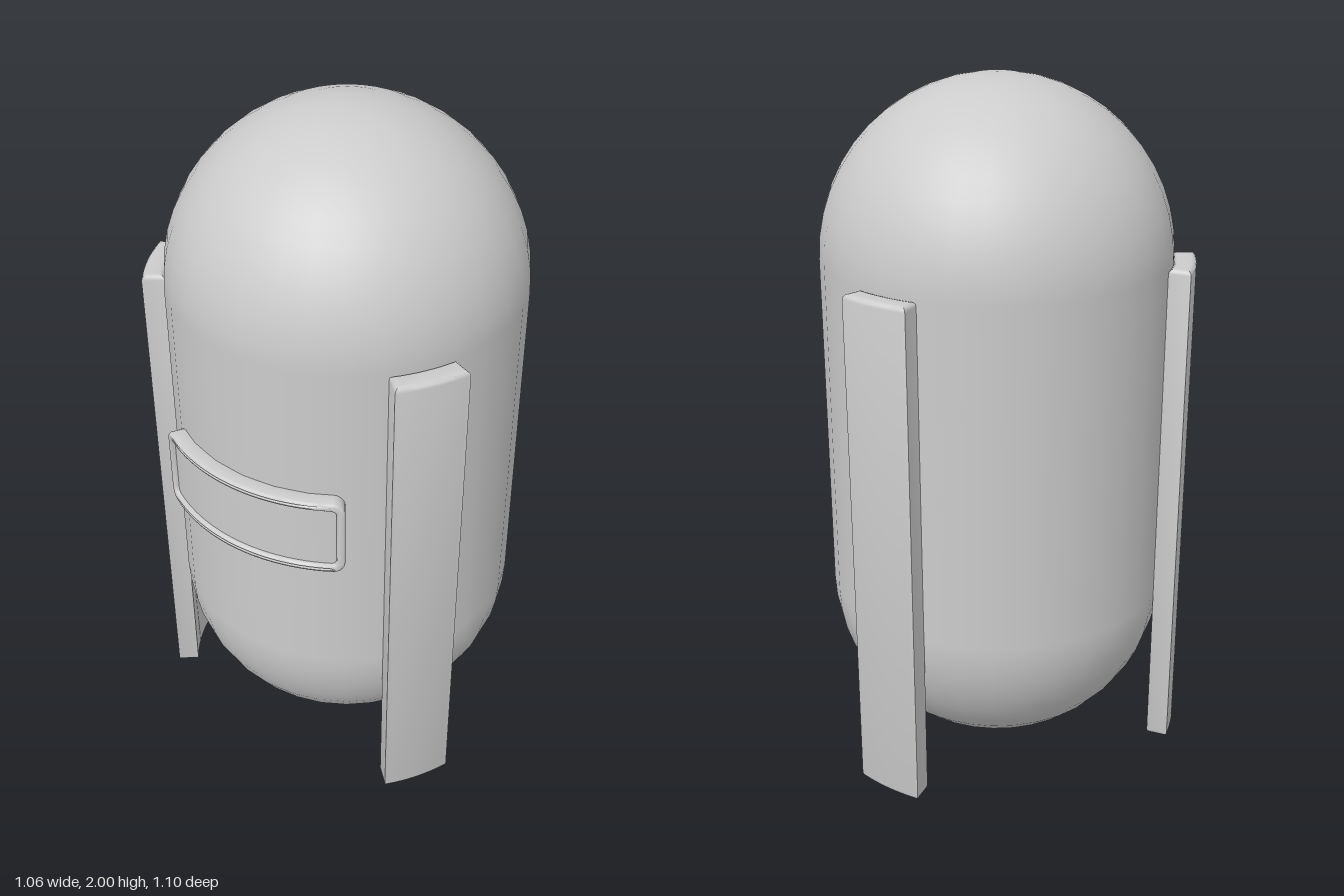
import * as THREE from 'three';
import { toCreasedNormals } from 'three/addons/utils/BufferGeometryUtils.js';

const material = new THREE.MeshStandardMaterial({ color: 0xcccccc });
const CENTRE = 0.01; // body axis offset in x and z

function part(name, geometry, mat = material) {
  const mesh = new THREE.Mesh(geometry, mat);
  mesh.name = name;
  return mesh;
}

// Upright curved slab hugging the body, centred on angle 0 (+x)
function legGeometry(inner, outer, halfAngle, height, bevel) {
  const shape = new THREE.Shape();
  shape.absarc(0, 0, outer, -halfAngle, halfAngle, false);
  shape.absarc(0, 0, inner, halfAngle, -halfAngle, true);
  shape.closePath();
  const geometry = new THREE.ExtrudeGeometry(shape, {
    depth: height - 2 * bevel, curveSegments: 8,
    bevelSize: bevel, bevelThickness: bevel, bevelOffset: -bevel, bevelSegments: 3,
  });
  geometry.translate(0, 0, bevel).rotateX(-Math.PI / 2);
  return toCreasedNormals(geometry, 0.65);
}

// Rounded rectangle with evenly divided long edges, so that it can be bent
function roundedRect(halfW, halfH, r, divisions = 20) {
  const points = [];
  const corners = [[1, 1, 0], [-1, 1, 1], [-1, -1, 2], [1, -1, 3]];
  for (const [sx, sy, quarter] of corners) {
    for (let i = 0; i <= 5; i++) {
      const a = (quarter + i / 5) * Math.PI / 2;
      points.push(new THREE.Vector2(
        sx * (halfW - r) + r * Math.cos(a), sy * (halfH - r) + r * Math.sin(a)));
    }
    if (quarter % 2 === 0) {
      for (let i = 1; i < divisions; i++) {
        points.push(new THREE.Vector2(
          sx * (halfW - r) * (1 - 2 * i / divisions), sy * halfH));
      }
    }
  }
  return points;
}

// Window frame: flat rounded ring wrapped round the body axis
function frameGeometry(inner, outer, halfAngle, halfH, bar, bevel) {
  const halfW = halfAngle * outer;
  const shape = new THREE.Shape(roundedRect(halfW, halfH, 0.035));
  shape.holes.push(new THREE.Path(roundedRect(halfW - bar, halfH - bar, 0.015).reverse()));
  const geometry = new THREE.ExtrudeGeometry(shape, {
    depth: outer - inner - 2 * bevel,
    bevelSize: bevel, bevelThickness: bevel, bevelOffset: -bevel, bevelSegments: 3,
  });
  const p = geometry.attributes.position;
  for (let i = 0; i < p.count; i++) {
    const a = p.getX(i) / outer;
    const r = inner + bevel + p.getZ(i);
    p.setXYZ(i, r * Math.sin(a), p.getY(i), r * Math.cos(a));
  }
  return toCreasedNormals(geometry, 0.7);
}

export function createModel() {
  const model = new THREE.Group();
  model.name = 'capsulePod';
  const pod = new THREE.Group();
  pod.name = 'pod';
  pod.position.set(CENTRE, 0, CENTRE);
  model.add(pod);

  // Capsule body
  const body = part('body', new THREE.CapsuleGeometry(0.499, 0.998, 12, 32));
  body.position.y = 1.001;
  pod.add(body);

  // Three legs around the body
  const leg = legGeometry(0.497, 0.56, THREE.MathUtils.degToRad(10.6), 1.5, 0.014);
  const legs = { leftLeg: 33.5, rightLeg: 153.9, backLeg: 268.7 };
  for (const [name, degrees] of Object.entries(legs)) {
    const mesh = part(name, leg);
    mesh.rotation.y = -THREE.MathUtils.degToRad(degrees);
    pod.add(mesh);
  }

  // Front window: raised frame and curved pane
  const halfAngle = 0.585;
  const frame = part('windowFrame', frameGeometry(0.49, 0.541, halfAngle, 0.119, 0.024, 0.008));
  const pane = part('windowPane',
    new THREE.CylinderGeometry(0.528, 0.528, 0.21, 24, 1, true, -halfAngle + 0.02, 2 * halfAngle - 0.04),
    new THREE.MeshStandardMaterial({ color: 0xcccccc, side: THREE.DoubleSide }));
  frame.position.y = pane.position.y = 1.003;
  pod.add(frame, pane);

  return model;
}
